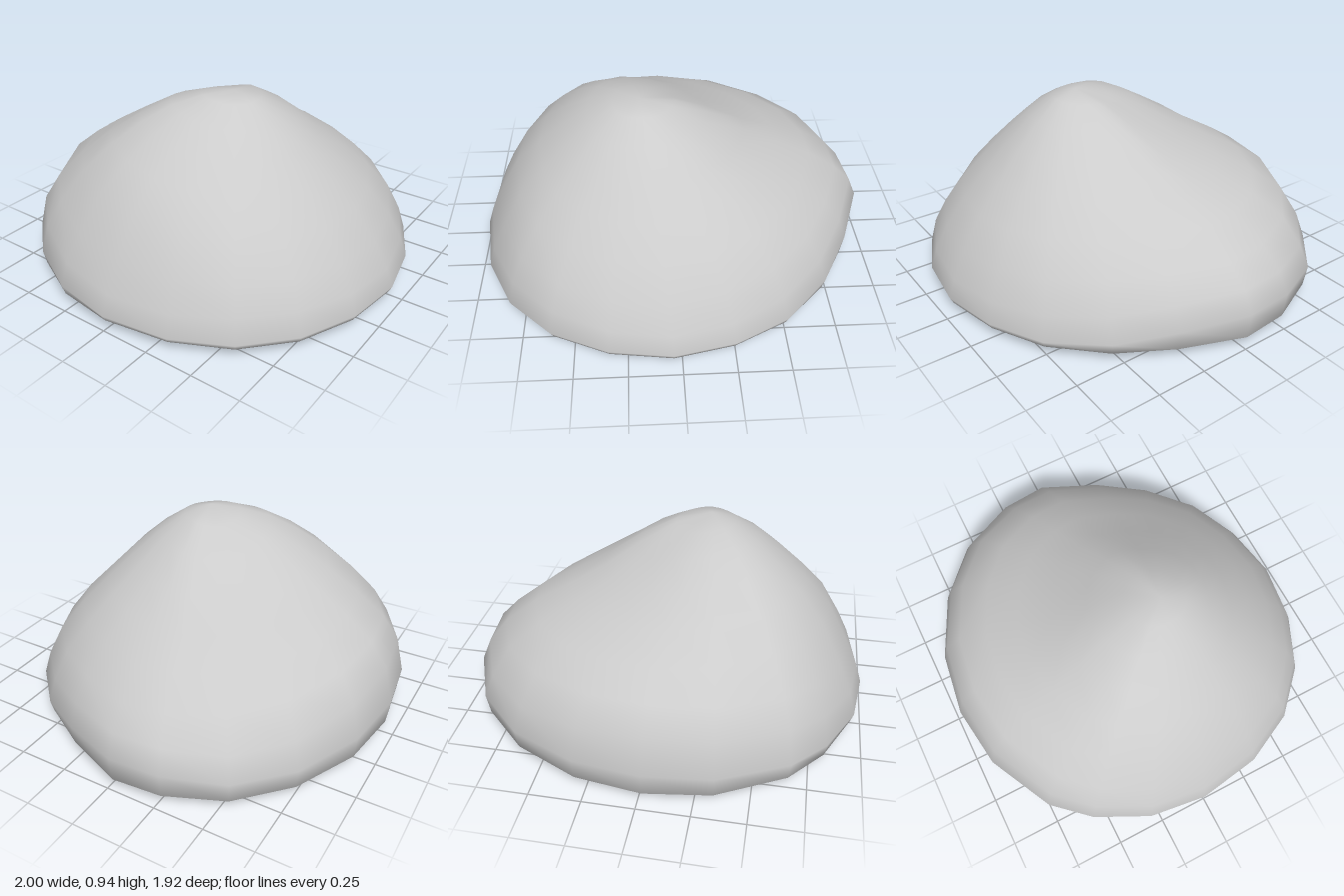
import * as THREE from 'three';

// widest contour seen from above as [x, z], from +x round through +z
const OUTLINE = [
  [1, -0.02], [0.88, 0.29], [0.73, 0.55], [0.51, 0.77], [0.25, 0.9],
  [-0.04, 0.96], [-0.34, 0.92], [-0.61, 0.8], [-0.82, 0.6], [-0.95, 0.33],
  [-1, 0], [-0.96, -0.3], [-0.83, -0.57], [-0.67, -0.75], [-0.34, -0.92],
  [-0.02, -0.965], [0.31, -0.92], [0.63, -0.77], [0.86, -0.55], [0.98, -0.27],
];
const PEAK = [-0.17, 0.935, 0.13];

// slope heights at these fractions of the way from peak to contour,
// one row per 45 degrees round the rock
const STEPS = [0.15, 0.3, 0.45, 0.6, 0.75, 0.88, 0.96, 1];
const SLOPES = [
  [0.90, 0.81, 0.69, 0.59, 0.50, 0.385, 0.29, 0.18], // +x, shoulder
  [0.90, 0.82, 0.71, 0.60, 0.48, 0.35, 0.21, 0.09],
  [0.905, 0.82, 0.71, 0.58, 0.45, 0.30, 0.17, 0.08], // +z, even slope
  [0.90, 0.82, 0.71, 0.59, 0.46, 0.32, 0.20, 0.08],
  [0.91, 0.85, 0.76, 0.65, 0.52, 0.32, 0.18, 0.08], // -x, steep
  [0.915, 0.875, 0.80, 0.70, 0.57, 0.42, 0.29, 0.13], // ridge beside it
  [0.90, 0.84, 0.74, 0.65, 0.56, 0.47, 0.35, 0.17], // -z, bulge
  [0.885, 0.785, 0.68, 0.60, 0.52, 0.42, 0.27, 0.15],
];

// underside rings as [scale of contour, height]
const UNDERSIDE = [[0.985, 0.05], [0.93, 0.02], [0.5, 0.005]];

// smooth blend between neighbouring slope rows
function slopeHeight(col, step) {
  const u = (col / OUTLINE.length) * SLOPES.length;
  const k = Math.floor(u);
  const f = u - k;
  const h = (n) => SLOPES[(n + SLOPES.length) % SLOPES.length][step];
  const m0 = (h(k + 1) - h(k - 1)) / 2;
  const m1 = (h(k + 2) - h(k)) / 2;
  const d = h(k + 1) - h(k);
  return h(k) + f * (m0 + f * (3 * d - 2 * m0 - m1 + f * (m0 + m1 - 2 * d)));
}

function rockGeometry() {
  const n = OUTLINE.length;
  const pos = [...PEAK];
  const index = [];

  // rings down the slopes, then in under the base
  STEPS.forEach((t, s) => OUTLINE.forEach(([x, z], i) => pos.push(
    PEAK[0] + (x - PEAK[0]) * t, slopeHeight(i, s), PEAK[2] + (z - PEAK[2]) * t)));
  UNDERSIDE.forEach(([k, y]) => OUTLINE.forEach(([x, z]) => pos.push(x * k, y, z * k)));
  pos.push(0, 0, 0);

  const rings = STEPS.length + UNDERSIDE.length;
  const at = (r, i) => 1 + r * n + (i % n);
  const bottom = 1 + rings * n;
  for (let i = 0; i < n; i++) {
    index.push(0, at(0, i + 1), at(0, i));
    for (let r = 0; r < rings - 1; r++) {
      const a = at(r, i), b = at(r, i + 1), c = at(r + 1, i), d = at(r + 1, i + 1);
      index.push(a, b, c, b, d, c);
    }
    index.push(bottom, at(rings - 1, i), at(rings - 1, i + 1));
  }

  const geo = new THREE.BufferGeometry();
  geo.setAttribute('position', new THREE.Float32BufferAttribute(pos, 3));
  geo.setIndex(index);
  geo.computeVertexNormals();
  return geo;
}

export function createModel() {
  const group = new THREE.Group();
  group.name = 'boulder';
  const rock = new THREE.Mesh(rockGeometry(), new THREE.MeshStandardMaterial({ color: 0xcccccc }));
  rock.name = 'rock';
  group.add(rock);
  return group;
}
